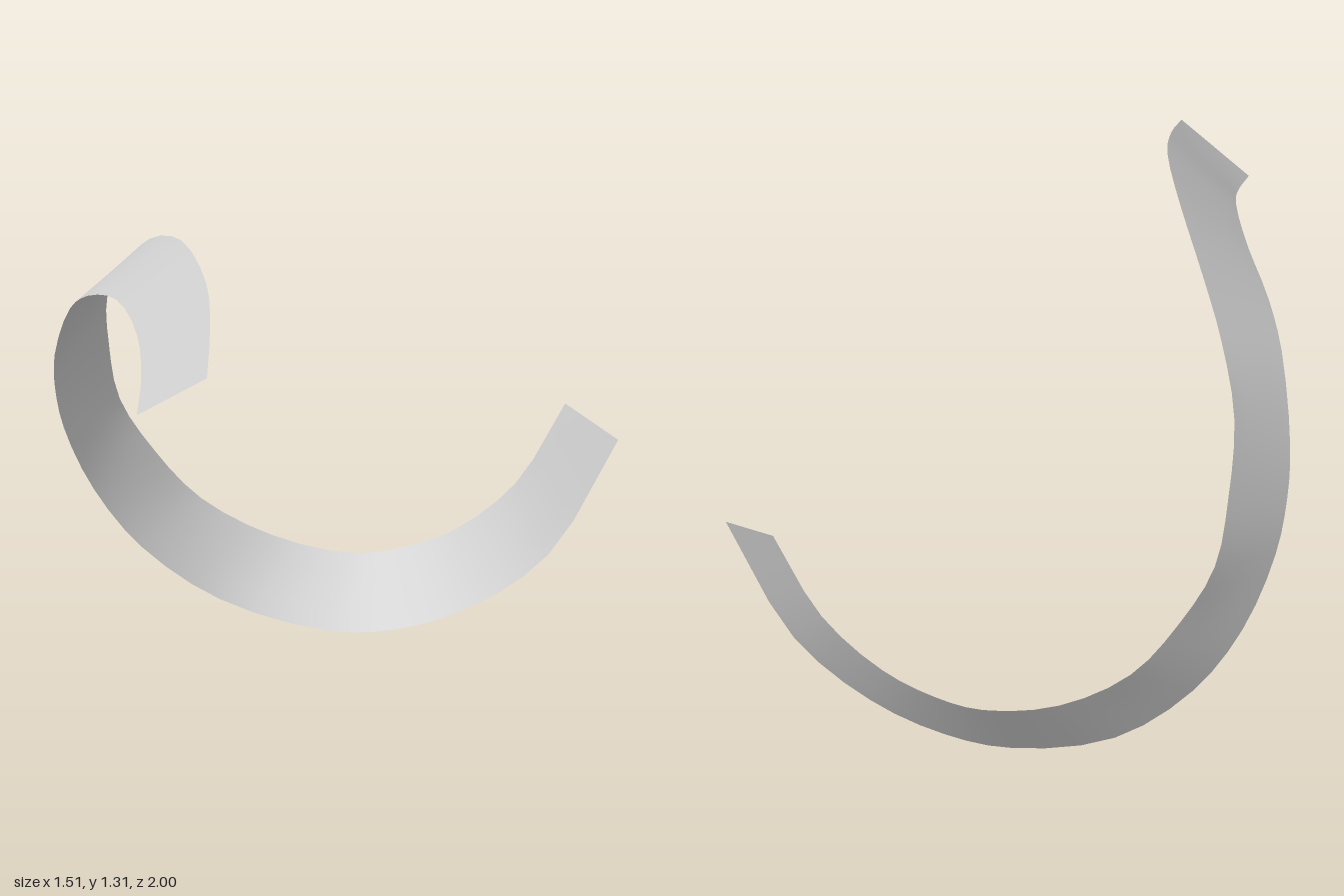
import * as THREE from 'three';

// Matching stations along the two long edges of the twisted strip
const edgeA = [
  [0, 0.96, 0.99], [-0.06, 1.03, 0.8], [-0.15, 1.11, 0.6], [-0.32, 1.155, 0.33],
  [-0.48, 1.12, 0.14], [-0.59, 1.05, 0], [-0.715, 0.87, -0.2], [-0.75, 0.76, -0.29],
  [-0.757, 0.62, -0.38], [-0.71, 0.42, -0.5], [-0.6, 0.24, -0.6], [-0.4, 0.085, -0.7],
  [-0.1, 0.005, -0.76], [0.1, 0.015, -0.79], [0.32, 0.09, -0.825], [0.55, 0.255, -0.855],
  [0.755, 0.6, -0.88],
];
const edgeB = [
  [0.22, 1.085, 1], [0.14, 1.185, 0.77], [0.04, 1.263, 0.54], [-0.17, 1.315, 0.2],
  [-0.365, 1.26, -0.05], [-0.49, 1.16, -0.19], [-0.615, 1.02, -0.36], [-0.665, 0.85, -0.5],
  [-0.67, 0.67, -0.6], [-0.6, 0.51, -0.69], [-0.49, 0.36, -0.78], [-0.3, 0.25, -0.86],
  [-0.08, 0.205, -0.91], [0.06, 0.225, -0.935], [0.22, 0.285, -0.955], [0.4, 0.43, -0.98],
  [0.545, 0.67, -1],
];

const curve = (pts) => new THREE.CatmullRomCurve3(pts.map((p) => new THREE.Vector3(...p)));

// Ruled surface joining two curves
function ruledStrip(a, b, along, across) {
  const geometry = new THREE.PlaneGeometry(1, 1, across, along);
  const pos = geometry.attributes.position;
  const p = new THREE.Vector3();
  for (let i = 0, k = 0; i <= along; i++) {
    const start = a.getPoint(i / along);
    const end = b.getPoint(i / along);
    for (let j = 0; j <= across; j++, k++) {
      p.lerpVectors(start, end, j / across);
      pos.setXYZ(k, p.x, p.y, p.z);
    }
  }
  geometry.computeVertexNormals();
  return geometry;
}

export function createModel() {
  const group = new THREE.Group();
  group.name = 'twistedRibbon';
  const grey = new THREE.MeshStandardMaterial({ color: 0xcccccc, side: THREE.DoubleSide });
  grey.name = 'light grey';

  const ribbon = new THREE.Mesh(ruledStrip(curve(edgeA), curve(edgeB), 48, 4), grey);
  ribbon.name = 'ribbon';
  group.add(ribbon);
  return group;
}
